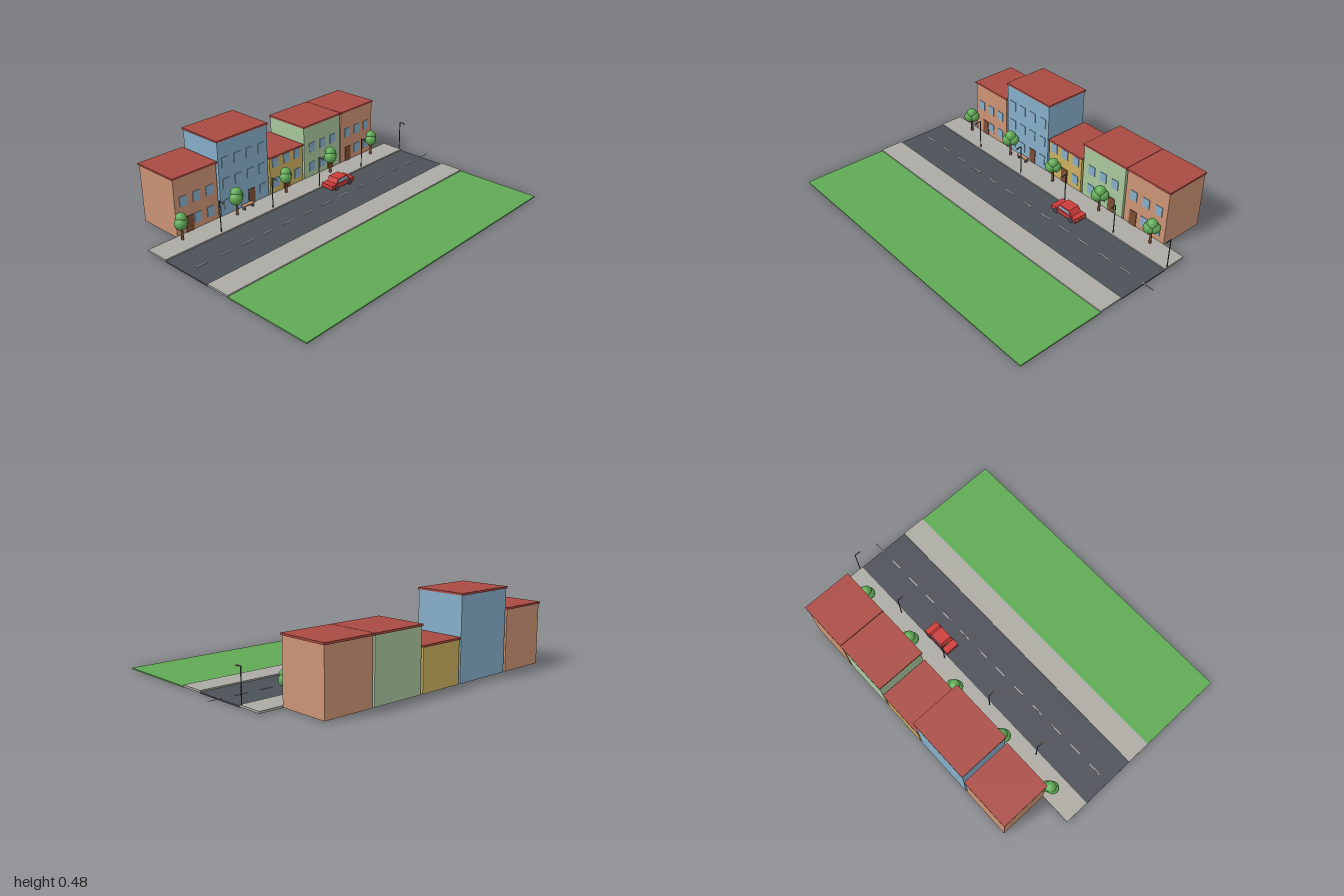
import * as THREE from 'three';

const mat = (name, color) => {
  const m = new THREE.MeshStandardMaterial({ color });
  m.name = name;
  return m;
};

export function createModel() {
  const M = {
    terracotta: mat('terracotta', 0xcc9475),
    blue: mat('sky blue', 0x86afca),
    ochre: mat('ochre', 0xcbb05f),
    sage: mat('sage', 0xa9c79d),
    roof: mat('roof red', 0xa94a42),
    carRed: mat('car red', 0xcc3b38),
    brown: mat('brown', 0x7b4f36),
    green: mat('green', 0x60aa55),
    asphalt: mat('asphalt', 0x4c5058),
    paving: mat('paving grey', 0xacaaa3),
  };
  const root = new THREE.Group();
  root.name = 'street';

  const add = (parent, name, geo, material, x = 0, y = 0, z = 0) => {
    const m = new THREE.Mesh(geo, material);
    m.name = name;
    m.position.set(x, y, z);
    parent.add(m);
    return m;
  };
  // Box given by its extents on each axis
  const box = (parent, name, material, [x0, x1], [y0, y1], [z0, z1]) =>
    add(parent, name, new THREE.BoxGeometry(x1 - x0, y1 - y0, z1 - z0), material,
      (x0 + x1) / 2, (y0 + y1) / 2, (z0 + z1) / 2);
  const group = (name, x = 0, y = 0, z = 0) => {
    const g = new THREE.Group();
    g.name = name;
    g.position.set(x, y, z);
    root.add(g);
    return g;
  };

  // Ground strips
  const ground = group('ground');
  const gx = [-1, 0.935];
  box(ground, 'lawn', M.green, gx, [0, 0.007], [0.2, 0.73]);
  box(ground, 'road', M.asphalt, gx, [0, 0.007], [-0.285, 0.05]);
  box(ground, 'nearSidewalk', M.paving, gx, [0.004, 0.015], [0.05, 0.2]);
  box(ground, 'farSidewalk', M.paving, gx, [0.004, 0.015], [-0.435, -0.285]);
  for (let i = 0; i < 13; i++) {
    const x = -0.935 + i * 0.155;
    box(ground, 'laneDash', M.paving, [x, x + 0.075], [0.007, 0.009], [-0.123, -0.117]);
  }

  // Houses: x range, wall height, wall, window columns, window rows, door centre
  const houses = [
    [-0.81, -0.516, 0.35, M.terracotta, 3, 2, -0.72],
    [-0.5, -0.133, 0.467, M.blue, 4, 3, -0.268],
    [-0.12, 0.153, 0.242, M.ochre, 3, 2, 0.016],
    [0.168, 0.487, 0.35, M.sage, 3, 2, 0.4],
    [0.5, 0.797, 0.35, M.terracotta, 3, 2, 0.567],
  ];
  for (const [x0, x1, h, wall, cols, rows, door] of houses) {
    const g = group('house');
    box(g, 'walls', wall, [x0, x1], [0.006, h], [-0.727, -0.435]);
    box(g, 'roof', M.roof, [x0 - 0.005, x1 + 0.005], [h, h + 0.011], [-0.733, -0.43]);
    box(g, 'door', M.brown, [door - 0.025, door + 0.025], [0.012, 0.11], [-0.436, -0.431]);
    for (let r = 0; r < rows; r++) {
      for (let c = 0; c < cols; c++) {
        const x = (x0 + x1) / 2 + (c - (cols - 1) / 2) * 0.09;
        if (r === 0 && Math.abs(x - door) < 0.046) continue;
        const y = 0.05 + r * 0.13;
        box(g, 'window', M.blue, [x - 0.024, x + 0.024], [y, y + 0.06], [-0.436, -0.431]);
      }
    }
  }

  // Trees: trunk and a crown of overlapping balls
  const trunkGeo = new THREE.CylinderGeometry(0.006, 0.008, 0.09, 8);
  const ballGeo = new THREE.SphereGeometry(1, 16, 12);
  const crown = [[-0.01, 0.117, 0.008, 0.036], [0.015, 0.12, -0.009, 0.032], [0, 0.143, 0, 0.032]];
  [1, 1.08, 1, 1.07, 1].forEach((s, i) => {
    const g = group('tree', -0.81 + i * 0.3875, 0.01, -0.388);
    add(g, 'trunk', trunkGeo, M.brown, 0, 0.045, 0);
    for (const [x, y, z, r] of crown) {
      add(g, 'foliage', ballGeo, M.green, x * s, y * (s * 0.6 + 0.4) - 0.008, z * s)
        .scale.setScalar(r * s);
    }
  });

  // Street lamps reaching over the road
  const poleGeo = new THREE.CylinderGeometry(0.003, 0.003, 0.19, 8);
  for (let i = 0; i < 5; i++) {
    const g = group('streetLamp', -0.614 + i * 0.3872, 0, -0.301);
    add(g, 'pole', poleGeo, M.asphalt, 0, 0.11, 0);
    box(g, 'arm', M.asphalt, [-0.002, 0.002], [0.201, 0.205], [-0.003, 0.036]);
    box(g, 'lampHead', M.ochre, [-0.004, 0.004], [0.197, 0.202], [0.024, 0.038]);
  }

  // Bench
  const bench = group('bench', -0.325, 0, -0.405);
  box(bench, 'seat', M.terracotta, [-0.04, 0.04], [0.034, 0.042], [-0.012, 0.012]);
  for (const x of [-0.032, 0.032]) {
    box(bench, 'leg', M.asphalt, [x - 0.004, x + 0.004], [0.014, 0.034], [-0.01, 0.01]);
  }

  // Car, pointing along +x
  const car = group('car', 0.258, 0, -0.237);
  box(car, 'body', M.carRed, [-0.097, 0.097], [0.018, 0.045], [-0.043, 0.043]);
  const side = (pts) => new THREE.Shape(pts.map(([x, y]) => new THREE.Vector2(x, y)));
  const cabin = side([[-0.055, 0.045], [0.063, 0.045], [0.04, 0.073], [-0.04, 0.073]]);
  add(car, 'cabin', new THREE.ExtrudeGeometry(cabin, { depth: 0.076, bevelEnabled: false }),
    M.carRed, 0, 0, -0.038);
  const pane = side([[-0.043, 0.048], [0.049, 0.048], [0.035, 0.067], [-0.034, 0.067]]);
  const paneGeo = new THREE.ExtrudeGeometry(pane, { depth: 0.002, bevelEnabled: false });
  const wheelGeo = new THREE.CylinderGeometry(0.016, 0.016, 0.012, 16).rotateX(Math.PI / 2);
  for (const s of [-1, 1]) {
    add(car, 'sideWindow', paneGeo, M.blue, 0, 0, s * 0.038 - 0.001);
    for (const x of [-0.06, 0.06]) add(car, 'wheel', wheelGeo, M.asphalt, x, 0.022, s * 0.041);
    box(car, 'headlight', M.ochre, [0.096, 0.099], [0.033, 0.041], [s * 0.03 - 0.007, s * 0.03 + 0.007]);
  }

  return root;
}
